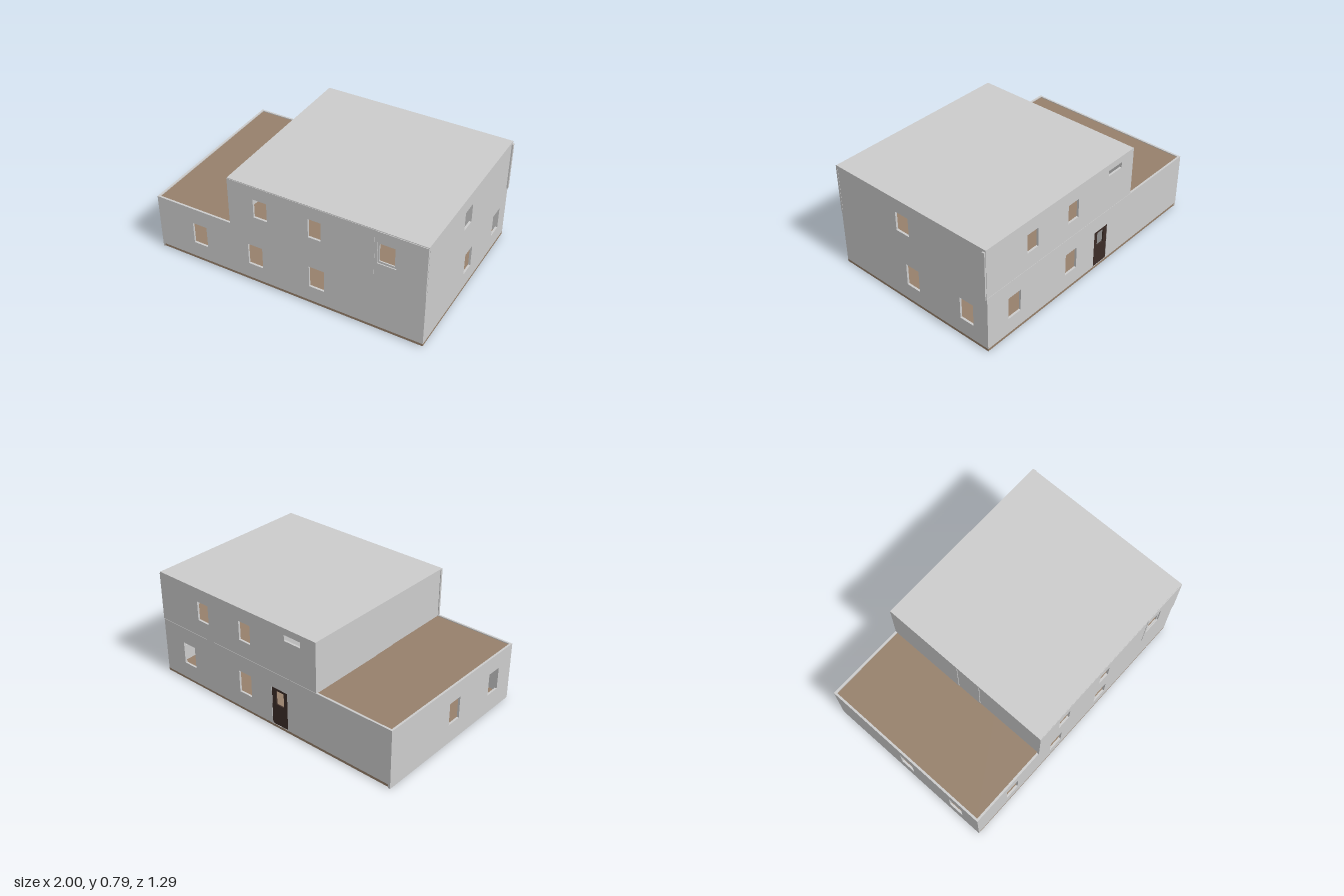
import * as THREE from 'three';

const grey = new THREE.MeshStandardMaterial({ color: 0xcccccc });
const brown = new THREE.MeshStandardMaterial({ color: 0x96806b });
const darkWood = new THREE.MeshStandardMaterial({ color: 0x3c2d28 });
const T = 0.015; // wall thickness

function rectangle(Type, [u0, u1, v0, v1]) {
  const r = new Type();
  r.moveTo(u0, v0);
  r.lineTo(u1, v0);
  r.lineTo(u1, v1);
  r.lineTo(u0, v1);
  r.closePath();
  return r;
}

// Upright panel with rectangular openings, each given as [u0, u1, y0, y1]
function panel(name, outline, openings, depth = T, material = grey) {
  const shape = rectangle(THREE.Shape, outline);
  for (const o of openings) shape.holes.push(rectangle(THREE.Path, o));
  const geometry = new THREE.ExtrudeGeometry(shape, { depth, bevelEnabled: false });
  const mesh = new THREE.Mesh(geometry, material);
  mesh.name = name;
  return mesh;
}

// Panel whose u axis runs along x, starting at depth z
function wallAlongX(name, z, outline, openings, depth, material) {
  const mesh = panel(name, outline, openings, depth, material);
  mesh.position.z = z;
  return mesh;
}

// Panel whose u axis runs along z, starting at x
function wallAlongZ(name, x, outline, openings, depth, material) {
  const flip = ([z0, z1, y0, y1]) => [-z1, -z0, y0, y1];
  const mesh = panel(name, flip(outline), openings.map(flip), depth, material);
  mesh.rotation.y = Math.PI / 2;
  mesh.position.x = x;
  return mesh;
}

function block(name, x0, x1, y0, y1, z0, z1, material = grey) {
  const mesh = new THREE.Mesh(new THREE.BoxGeometry(x1 - x0, y1 - y0, z1 - z0), material);
  mesh.position.set((x0 + x1) / 2, (y0 + y1) / 2, (z0 + z1) / 2);
  mesh.name = name;
  return mesh;
}

// Window openings centred at u
const lowWindow = (u) => [u - 0.055, u + 0.055, 0.147, 0.31];
const highWindow = (u, half = 0.05) => [u - half, u + half, 0.55, 0.69];

export function createModel() {
  const house = new THREE.Group();
  house.name = 'house';

  // Floors and roof
  house.add(
    block('groundFloor', -0.985, 0.99, 0.012, 0.03, -0.645, 0.64, brown),
    block('upperFloorAndTerrace', -0.986, 0.974, 0.405, 0.424, -0.629, 0.624, brown),
    block('roof', -0.41, 0.99, 0.78, 0.79, -0.643, 0.64)
  );

  // Ground storey
  const doorway = [-0.165, -0.03, 0.032, 0.315];
  house.add(
    wallAlongX('lowerFrontWall', 0.64 - T, [-1, 0.99, 0.028, 0.43],
      [-0.665, -0.225, 0.235].map(lowWindow)),
    wallAlongX('lowerBackWall', -0.645, [-1, 0.99, 0.028, 0.43],
      [lowWindow(0.75), lowWindow(0.21), doorway]),
    wallAlongZ('lowerRightWall', 0.99 - T, [-0.63, 0.625, 0.028, 0.43],
      [lowWindow(-0.008), lowWindow(-0.472)]),
    wallAlongZ('lowerLeftWall', -1, [-0.645, 0.64, 0.003, 0.43],
      [lowWindow(0), lowWindow(0.44)]),
    wallAlongZ('lowerPartition', -0.22, [-0.63, 0.3, 0.03, 0.405], [], 0.025)
  );

  // Back door with a window opening
  house.add(wallAlongX('backDoor', -0.642, doorway, [[-0.132, -0.064, 0.19, 0.295]], 0.01, darkWood));

  // Upper storey
  house.add(
    wallAlongX('upperFrontWall', 0.643 - T, [-0.41, 0.64, 0.43, 0.785],
      [highWindow(-0.17), highWindow(0.225, 0.045)]),
    wallAlongX('upperFrontCornerWall', 0.645 - T, [0.642, 0.99, 0.43, 0.785],
      [[0.66, 0.79, 0.545, 0.705]]),
    wallAlongX('frontWindowFrame', 0.63, [0.66, 0.79, 0.545, 0.705],
      [[0.672, 0.776, 0.56, 0.693]], 0.008),
    wallAlongX('upperBackWall', -0.643, [-0.41, 0.99, 0.43, 0.785],
      [highWindow(0.585), highWindow(0.2), [-0.285, -0.15, 0.7, 0.742]]),
    wallAlongZ('upperRightWall', 0.99 - T, [-0.628, 0.628, 0.43, 0.785], [highWindow(0.055, 0.055)]),
    wallAlongZ('upperPartition', -0.13, [-0.628, -0.05, 0.424, 0.78], [], 0.02),
    wallAlongX('upperCrossPartition', -0.06, [-0.13, 0.975, 0.424, 0.78], [], 0.02)
  );

  // Terrace wall in three slightly stepped panels, and the proud corner strip
  [[-0.628, -0.062, -0.41], [-0.06, 0.123, -0.407], [0.125, 0.628, -0.404]].forEach(([z0, z1, x]) =>
    house.add(wallAlongZ('terraceWall', x, [z0, z1, 0.424, 0.785], [])));
  house.add(block('cornerStrip', 0.975, 1, 0.42, 0.775, -0.64, -0.62));

  // U-shaped kitchen counter, standing through the floor
  const counter = new THREE.Shape();
  [[-0.99, -0.62], [-0.5, -0.62], [-0.5, -0.535], [-0.88, -0.535], [-0.88, -0.24],
    [-0.58, -0.24], [-0.58, -0.16], [-0.99, -0.16]].forEach(([x, z], i) =>
    i ? counter.lineTo(x, -z) : counter.moveTo(x, -z));
  const counterMesh = new THREE.Mesh(
    new THREE.ExtrudeGeometry(counter, { depth: 0.125, bevelEnabled: false }), grey);
  counterMesh.rotation.x = -Math.PI / 2;
  counterMesh.position.y = 0.005;
  counterMesh.name = 'kitchenCounter';
  house.add(counterMesh);

  return house;
}
